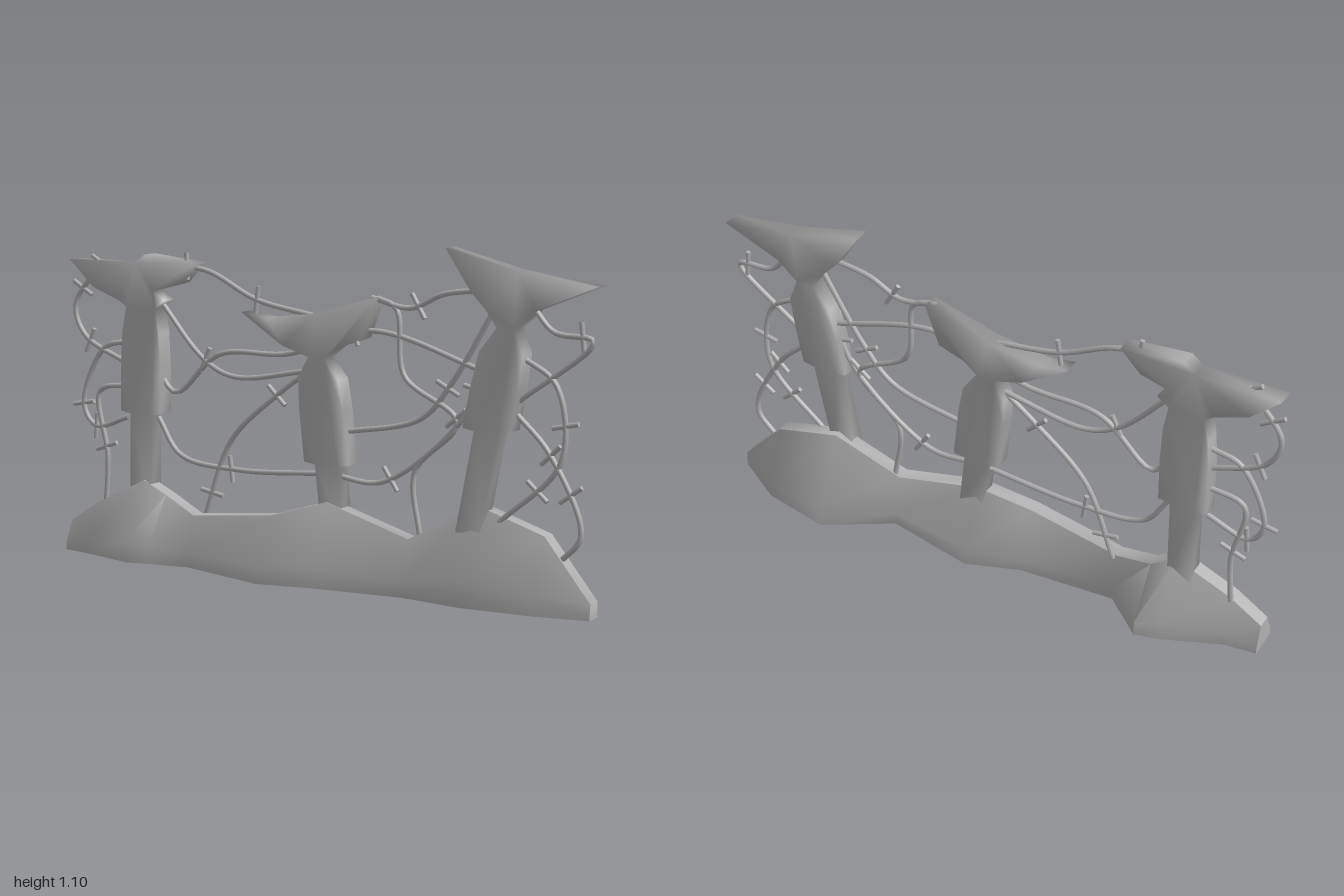
import * as THREE from 'three';
import { mergeVertices, toCreasedNormals } from 'three/addons/utils/BufferGeometryUtils.js';

const stone = new THREE.MeshStandardMaterial({ color: 0xb0b0b0 });
stone.name = 'grey';

function add(parent, name, geometry) {
  const mesh = new THREE.Mesh(geometry, stone);
  mesh.name = name;
  parent.add(mesh);
  return mesh;
}

// Flat post with softly blended edges: a leaning stem, a wider sleeve, a narrow neck and a broken cap.
// foot and neck are [x, y]; sleeve is where the sleeve starts, as a fraction of the height
function postGeometry({ foot, neck, sleeve, neckWidth, cap }) {
  const profile = [[0, 0.042], [sleeve, 0.042], [sleeve + 0.01, 0.083], [0.7, 0.083], [0.88, 0.076], [1, neckWidth]];
  const side = (s) => profile.map(([t, w]) => [
    THREE.MathUtils.lerp(foot[0], neck[0], t) + s * w,
    THREE.MathUtils.lerp(foot[1], neck[1], t),
  ]);
  const outline = [...side(-1), ...cap, ...side(1).reverse()];
  const shape = new THREE.Shape(outline.map(([x, y]) => new THREE.Vector2(x, y)));
  let g = new THREE.ExtrudeGeometry(shape, { depth: 0.06, bevelEnabled: false });
  g.translate(0, 0, -0.03);
  g.deleteAttribute('normal');
  g.deleteAttribute('uv');
  g = mergeVertices(g, 1e-4);
  g.computeVertexNormals();
  return g;
}

// Mound lofted through sections: x, height, front z, back z
function moundGeometry(sections) {
  const pos = [], idx = [], n = 6;
  for (const [x, h, f, b] of sections) {
    const ridge = (f + b) * 0.4;
    pos.push(x, 0, f, x, h * 0.27, f, x, h, ridge + 0.025, x, h, ridge - 0.025, x, h * 0.25, b, x, 0, b);
  }
  for (let i = 0; i < sections.length - 1; i++) {
    for (let j = 0; j < n; j++) {
      const k = (j + 1) % n, a = i * n, c = a + n;
      idx.push(a + j, c + j, c + k, a + j, c + k, a + k);
    }
  }
  const e = (sections.length - 1) * n;
  for (let j = 1; j < n - 1; j++) idx.push(0, j, j + 1, e, e + j + 1, e + j);
  const g = new THREE.BufferGeometry();
  g.setAttribute('position', new THREE.Float32BufferAttribute(pos, 3));
  g.setIndex(idx);
  return toCreasedNormals(g, 0.95);
}

// Wire through a few points in the plane of the fence, with barbs across it at fractions of its length
const barbGeometry = new THREE.CylinderGeometry(0.008, 0.008, 0.09, 7);
function addWire(parent, points, barbs) {
  const curve = new THREE.CatmullRomCurve3(points.map(([x, y]) => new THREE.Vector3(x, y, 0)));
  add(parent, 'wire', new THREE.TubeGeometry(curve, points.length * 8, 0.009, 7));
  for (const t of barbs) {
    const barb = add(parent, 'barb', barbGeometry);
    const along = curve.getTangentAt(t);
    barb.position.copy(curve.getPointAt(t));
    barb.rotation.z = Math.atan2(along.y, along.x) + 0.15;
  }
}

export function createModel() {
  const model = new THREE.Group();
  model.name = 'barbedFence';

  // Earth mound
  add(model, 'mound', moundGeometry([
    [-0.98, 0.1, 0.085, -0.02], [-0.87, 0.17, 0.1, -0.035], [-0.68, 0.265, 0.14, -0.115],
    [-0.6, 0.22, 0.12, -0.135], [-0.46, 0.17, 0.09, -0.015], [-0.13, 0.21, 0.17, -0.04],
    [0.05, 0.265, 0.125, -0.105], [0.36, 0.18, 0.08, -0.04], [0.58, 0.305, 0.1, -0.175],
    [0.82, 0.235, 0.075, -0.125], [0.99, 0.05, 0.035, -0.02],
  ]));

  // Posts
  add(model, 'rightPost', postGeometry({
    foot: [-0.7, 0.18], neck: [-0.69, 0.85], sleeve: 0.46, neckWidth: 0.06,
    cap: [[-0.78, 0.87], [-0.89, 0.91], [-0.99, 1], [-0.71, 1], [-0.67, 1.03], [-0.46, 1.01], [-0.53, 0.94],
      [-0.64, 0.91], [-0.59, 0.88]],
  }));
  add(model, 'middlePost', postGeometry({
    foot: [0.07, 0.18], neck: [0.01, 0.73], sleeve: 0.37, neckWidth: 0.03,
    cap: [[-0.12, 0.76], [-0.28, 0.86], [-0.18, 0.845], [0, 0.87], [0.23, 0.935], [0.18, 0.8], [0.09, 0.77]],
  }));
  add(model, 'leftPost', postGeometry({
    foot: [0.565, 0.22], neck: [0.69, 0.865], sleeve: 0.5, neckWidth: 0.03,
    cap: [[0.62, 0.92], [0.57, 0.97], [0.48, 1.1], [0.73, 1.04], [0.99, 1.005], [0.79, 0.925]],
  }));

  const wires = new THREE.Group();
  wires.name = 'wires';
  model.add(wires);

  // Wires from the right post to the middle post
  addWire(wires, [[-0.55, 1], [-0.42, 0.98], [-0.24, 0.9], [-0.02, 0.86]], [0.06, 0.6]);
  addWire(wires, [[-0.64, 0.89], [-0.45, 0.69], [-0.33, 0.64], [-0.04, 0.68]], [0.4]);
  addWire(wires, [[-0.65, 0.66], [-0.57, 0.57], [-0.39, 0.71], [-0.12, 0.73], [0.2, 0.825], [0.62, 0.72]], [0.64]);
  addWire(wires, [[-0.64, 0.48], [-0.55, 0.36], [-0.32, 0.33], [0.02, 0.35]], [0.5]);
  addWire(wires, [[-0.45, 0.16], [-0.34, 0.43], [-0.15, 0.6], [-0.04, 0.68]], [0.13, 0.78]);

  // Wires from the middle post to the left post
  addWire(wires, [[0.2, 0.93], [0.34, 0.905], [0.46, 0.955], [0.68, 0.98]], [0.35]);
  addWire(wires, [[0.08, 0.49], [0.38, 0.56], [0.49, 0.68], [0.65, 0.94]], [0.58]);
  addWire(wires, [[0.22, 0.93], [0.29, 0.9], [0.32, 0.69], [0.51, 0.56], [0.36, 0.39], [0.38, 0.18]], [0.53]);
  addWire(wires, [[0.06, 0.35], [0.24, 0.345], [0.52, 0.56], [0.6, 0.72]], [0.3, 0.92]);

  // Tangle beyond the right post
  addWire(wires, [[-0.87, 1], [-0.99, 0.84], [-0.95, 0.74], [-0.76, 0.65]], [0.02, 0.25, 0.65]);
  addWire(wires, [[-0.76, 0.73], [-0.87, 0.7], [-0.96, 0.5], [-0.91, 0.43], [-0.77, 0.47]], [0.58, 0.75]);
  addWire(wires, [[-0.76, 0.58], [-0.89, 0.55], [-0.86, 0.33], [-0.87, 0.16]], [0.62]);

  // Tangle beyond the left post
  addWire(wires, [[0.77, 0.93], [0.84, 0.86], [0.97, 0.84], [0.72, 0.64]], [0.35]);
  addWire(wires, [[0.73, 0.78], [0.85, 0.7], [0.87, 0.47], [0.66, 0.26]], [0.4, 0.75]);
  addWire(wires, [[0.72, 0.6], [0.83, 0.49], [0.94, 0.25], [0.87, 0.16]], [0.3, 0.55]);
  return model;
}
